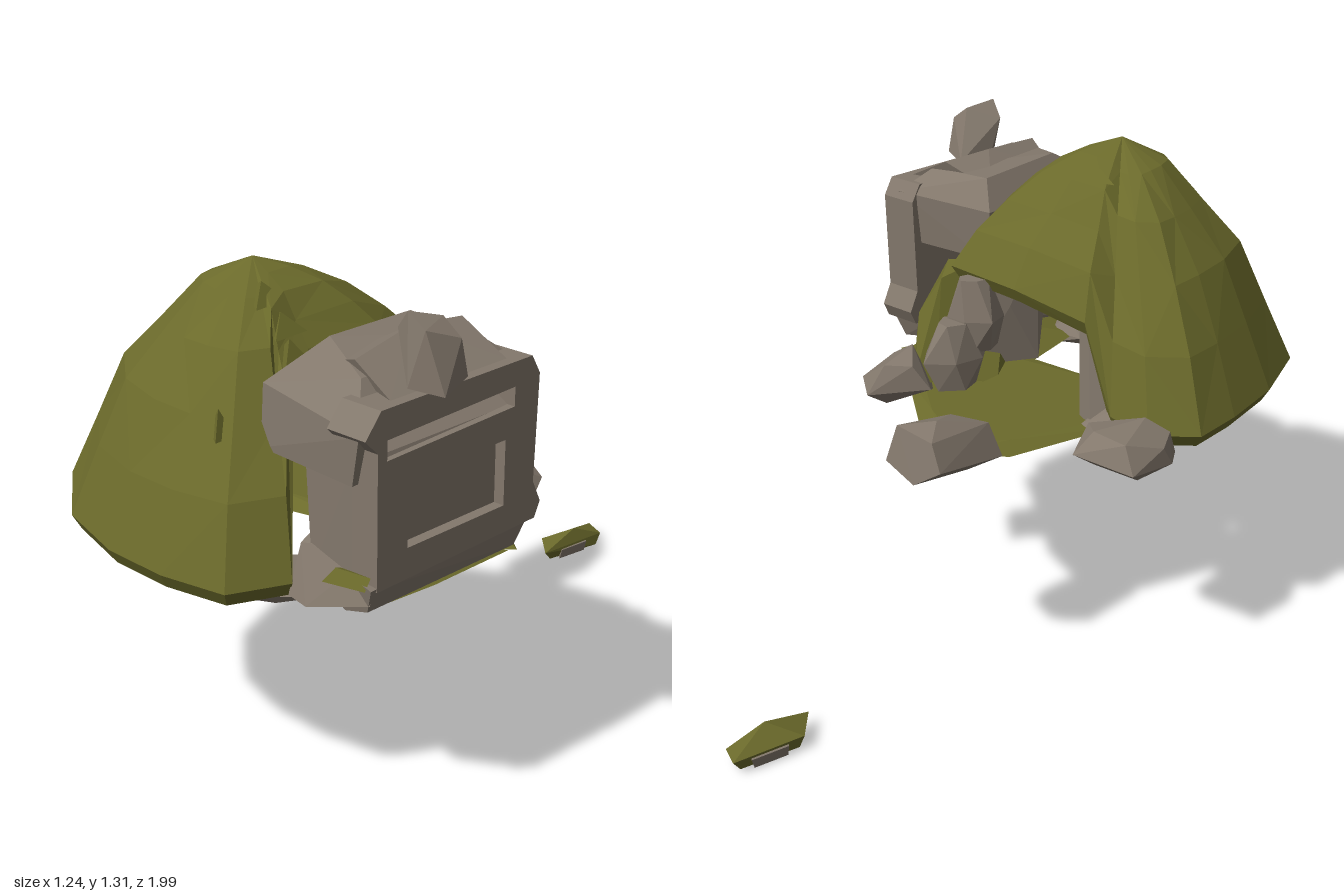
import * as THREE from 'three';
import { ConvexGeometry } from 'three/addons/geometries/ConvexGeometry.js';

const moss = new THREE.MeshStandardMaterial({ color: 0x6b6a2b, side: THREE.DoubleSide });
moss.name = 'moss';
const stone = new THREE.MeshStandardMaterial({ color: 0x83786c });
stone.name = 'stone';

const V = (p) => new THREE.Vector3(...p);

function mesh(parent, name, geometry, material) {
  const m = new THREE.Mesh(geometry, material);
  m.name = name;
  parent.add(m);
  return m;
}

// Faceted lump through a handful of corner points
const hull = (parent, name, material, pts) => mesh(parent, name, new ConvexGeometry(pts.map(V)), material);

// Irregular boulder: a jittered six-sided drum with domed ends, turned about y
function boulder(parent, name, [x, y, z], [sx, sy, sz], turn, seed) {
  const pts = [];
  for (const [h, r] of [[-0.95, 0.75], [-0.1, 1], [0.95, 0.55]]) {
    for (let i = 0; i < 6; i++) {
      const a = (i / 6) * Math.PI * 2 + h * 0.4;
      const k = r * (1 + 0.15 * Math.sin(seed * 7.3 + i * 4.1 + h * 9));
      pts.push([Math.cos(a) * k * sx, h * sy, Math.sin(a) * k * sz]);
    }
  }
  const m = hull(parent, name, stone, pts);
  m.position.set(x, y, z);
  m.rotation.y = turn;
}

// Open moss shell: spokes run from the peak down to an uneven rim
function shellGeometry() {
  const peak = [-0.11, 1.31, 0.45];
  const rim = [
    [0.33, 0.97, 0.2], [0.12, 0.95, 0.1], [-0.1, 0.9, 0.02], [-0.19, 0.66, -0.05],
    [-0.31, 0.65, -0.13], [-0.45, 0.65, -0.1], [-0.52, 0.66, 0.03], [-0.59, 0.67, 0.22],
    [-0.62, 0.68, 0.45], [-0.53, 0.66, 0.67], [-0.37, 0.65, 0.82], [-0.2, 0.65, 0.92],
    [-0.02, 0.65, 0.98], [0.12, 0.66, 0.9], [0.08, 0.95, 0.75], [0.1, 1.05, 0.6], [0.25, 1.07, 0.38],
  ];
  // [outward fraction, drop fraction]
  const rings = [[0.25, 0.1], [0.47, 0.25], [0.67, 0.46], [0.85, 0.71], [1, 1]];
  const spoke = (r, i) => {
    const pts = rings.map(([u, drop], j) => {
      const wob = j < 4 ? 0.014 * Math.sin(i * 5.7 + j * 3.1) : 0;
      const t = u + wob;
      return [
        peak[0] + (r[0] - peak[0]) * t,
        peak[1] + (r[1] - peak[1]) * drop + wob * 0.4,
        peak[2] + (r[2] - peak[2]) * t,
      ];
    });
    // rim curls under
    pts.push([r[0] + (peak[0] - r[0]) * 0.05, r[1] - 0.04, r[2] + (peak[2] - r[2]) * 0.05]);
    return pts;
  };
  const spokes = rim.map(spoke);
  const out = [];
  spokes.forEach((a, i) => {
    const b = spokes[(i + 1) % spokes.length];
    out.push(...peak, ...a[0], ...b[0]);
    for (let j = 0; j < a.length - 1; j++) {
      if ((i + j) % 2) out.push(...a[j], ...a[j + 1], ...b[j + 1], ...a[j], ...b[j + 1], ...b[j]);
      else out.push(...a[j], ...a[j + 1], ...b[j], ...b[j], ...a[j + 1], ...b[j + 1]);
    }
  });
  const g = new THREE.BufferGeometry();
  g.setAttribute('position', new THREE.Float32BufferAttribute(out, 3));
  g.computeVertexNormals();
  return g;
}

function rectHole(x0, x1, y0, y1, skew = 0) {
  const p = new THREE.Path();
  p.moveTo(x0, y0);
  p.lineTo(x0, y1);
  p.lineTo(x1, y1 + skew);
  p.lineTo(x1, y0 + skew);
  p.closePath();
  return p;
}

export function createModel() {
  const model = new THREE.Group();
  model.name = 'mossyStoneShelter';

  // Moss dome and its low crest tufts
  mesh(model, 'mossDome', shellGeometry(), moss);
  for (const [x, y, z, s, h] of [[-0.09, 1.0, 0.79, 0.035, 0.035], [-0.06, 1.25, 0.54, 0.06, 0.025],
    [0.0, 1.19, 0.58, 0.06, 0.025], [0.04, 1.14, 0.64, 0.05, 0.03], [-0.08, 1.24, 0.3, 0.05, 0.015]]) {
    hull(model, 'mossTuft', moss, [[x - s, y - h, z - s], [x + s, y - h, z - s * 0.4],
      [x, y + h, z], [x + s * 0.2, y - h, z + s * 1.3]]);
  }

  // Ground slab, and the moss bed running under the house
  const outline = [[0.05, -0.22], [0.2, -0.28], [0.36, -0.05], [0.47, 0.2], [0.46, 0.4], [0.2, 0.46], [-0.15, 0.32], [-0.2, 0]];
  hull(model, 'groundSlab', moss, outline.flatMap(([x, z], i) => [
    [x, 0.59 + 0.02 * (i % 2), z],
    [0.13 + (x - 0.13) * 0.85, 0.62, 0.08 + (z - 0.08) * 0.85],
    [0.13 + (x - 0.13) * 0.6, 0.54 + 0.01 * (i % 3), 0.08 + (z - 0.08) * 0.6],
  ]));
  hull(model, 'mossBank', moss, [[0.2, 0.6, 0.2], [0.47, 0.6, 0.2], [0.46, 0.6, 0.42], [0.57, 0.6, 0.45],
    [0.22, 0.6, 0.55], [0.25, 0.68, 0.45], [0.42, 0.68, 0.35], [0.4, 0.7, 0.22]]);
  hull(model, 'mossBed', moss, [[0.15, 0.6, 0.45], [0.55, 0.6, 0.46], [0.42, 0.61, 0.72], [0.3, 0.62, 0.92],
    [0.08, 0.6, 0.7], [0.2, 0.575, 0.6], [0.42, 0.58, 0.52], [0.3, 0.66, 0.6]]);
  hull(model, 'mossButtress', moss, [[0.27, 0.97, 0.26], [0.38, 0.94, 0.34], [0.36, 0.93, 0.2],
    [0.46, 0.66, 0.24], [0.42, 0.64, 0.1], [0.36, 0.64, 0.12], [0.43, 0.82, 0.2]]);
  hull(model, 'mossPatch', moss, [[0.2, 0.69, 0.93], [0.23, 0.725, 0.92], [0.32, 0.72, 0.945], [0.31, 0.69, 0.96], [0.26, 0.7, 0.86]]);

  // Boulders round the back and right
  hull(model, 'backBoulder', stone, [[0.17, 0.64, -0.47], [0.2, 0.71, -0.44], [0.25, 0.59, -0.45], [0.34, 0.63, -0.4],
    [0.31, 0.73, -0.39], [0.33, 0.6, -0.31], [0.21, 0.74, -0.36], [0.06, 0.61, -0.26], [0.1, 0.7, -0.25],
    [0.24, 0.6, -0.17], [0.22, 0.69, -0.2], [0.15, 0.57, -0.28]]);
  hull(model, 'leftBackBoulder', stone, [[-0.39, 0.61, -0.2], [-0.37, 0.66, -0.22], [-0.31, 0.62, -0.33], [-0.28, 0.69, -0.29],
    [-0.13, 0.63, -0.25], [-0.18, 0.69, -0.22], [-0.12, 0.6, -0.18], [-0.14, 0.66, -0.1], [-0.2, 0.59, -0.04],
    [-0.38, 0.6, -0.1], [-0.37, 0.67, -0.13], [-0.3, 0.56, -0.22], [-0.17, 0.57, -0.17], [-0.3, 0.7, -0.12]]);
  hull(model, 'rightBoulder', stone, [[0.35, 0.65, 0.04], [0.4, 0.72, 0.03], [0.52, 0.64, -0.02], [0.48, 0.72, 0.02],
    [0.57, 0.65, 0.09], [0.56, 0.62, 0.18], [0.5, 0.7, 0.17], [0.47, 0.6, 0.2], [0.38, 0.6, 0.17], [0.42, 0.76, 0.1], [0.48, 0.6, 0.03]]);
  boulder(model, 'rightBoulder', [0.3, 0.74, 0.12], [0.1, 0.1, 0.08], 0.9, 3);
  boulder(model, 'rightBoulder', [0.25, 0.85, 0.16], [0.08, 0.11, 0.07], 0.3, 4);
  boulder(model, 'footingStone', [0.04, 0.605, 0.76], [0.14, 0.03, 0.13], 0.4, 4);
  boulder(model, 'footingStone', [-0.22, 0.62, 0.03], [0.12, 0.05, 0.11], 0.4, 2);

  // Pillars, lintel and inner wall holding up the shell
  const pillar = (pts0, pts1, r) => hull(model, 'pillar', stone, [0, 1, 2, 3, 4].flatMap((i) => {
    const c = Math.cos(i * 1.257) * r, s = Math.sin(i * 1.257) * r;
    return [[pts0[0] + c * 1.3, pts0[1], pts0[2] + s * 1.3], [pts1[0] + c, pts1[1], pts1[2] + s]];
  }));
  pillar([-0.15, 0.6, 0.03], [-0.11, 0.96, 0.13], 0.05);
  hull(model, 'lintel', stone, [[-0.13, 0.92, 0.1], [-0.1, 1.0, 0.16], [-0.08, 0.93, 0.18], [0.1, 0.93, 0.13],
    [0.1, 1.0, 0.2], [0.3, 0.91, 0.21], [0.28, 0.99, 0.25], [0.28, 0.92, 0.29]]);
  hull(model, 'innerWall', stone, [[0.13, 0.62, 0.42], [0.13, 0.98, 0.42], [0.12, 0.8, 0.46], [0.15, 0.62, 0.5], [0.15, 0.98, 0.5],
    [0.2, 0.8, 0.36], [0.3, 0.62, 0.32], [0.3, 0.98, 0.32], [0.36, 0.62, 0.42], [0.36, 0.98, 0.42]]);

  // Stone house, local +z is its windowed face
  const house = new THREE.Group();
  house.name = 'stoneHouse';
  house.position.set(0.47, 0, 0.72);
  house.rotation.y = 1.058;
  model.add(house);

  const wall = new THREE.Shape([[-0.27, 0.69], [0.29, 0.7], [0.31, 0.74], [0.28, 0.8], [0.29, 1.08], [0.26, 1.13],
    [-0.26, 1.13], [-0.31, 1.07], [-0.27, 1.03]].map(([x, y]) => new THREE.Vector2(x, y)));
  wall.holes.push(rectHole(-0.17, 0.17, 0.77, 0.94), rectHole(-0.24, 0.2, 1.005, 1.055, 0.012));
  const front = new THREE.ExtrudeGeometry(wall, { depth: 0.12, bevelEnabled: false });
  front.translate(0, 0, -0.12);
  mesh(house, 'windowWall', front, stone);
  const back = new THREE.BoxGeometry(0.36, 0.19, 0.02);
  back.translate(0, 0.855, -0.04);
  mesh(house, 'windowBacking', back, stone);
  // sloped ledge inside the slot
  hull(house, 'slotLedge', stone, [-0.245, 0.205].flatMap((x) => [[x, 0.99, -0.01], [x, 1.015, -0.02], [x, 1.07, -0.11], [x, 0.99, -0.11]]));
  hull(house, 'sideWall', stone, [[-0.27, 0.68, -0.08], [-0.27, 0.98, -0.08], [-0.28, 0.68, -0.2], [-0.28, 0.98, -0.22],
    [-0.2, 0.68, -0.1], [-0.2, 0.98, -0.1], [-0.2, 0.68, -0.18], [-0.2, 0.98, -0.2]]);

  hull(house, 'roof', stone, [[-0.29, 0.94, -0.06], [0.26, 0.95, -0.1], [-0.27, 0.94, -0.38], [0.24, 0.95, -0.38],
    [-0.3, 1.07, -0.03], [0.28, 1.1, -0.05], [-0.26, 1.1, -0.38], [0.25, 1.1, -0.4],
    [-0.2, 1.16, -0.12], [0.2, 1.17, -0.12], [-0.1, 1.19, -0.32], [0.2, 1.18, -0.34]]);
  hull(house, 'roofCap', stone, [[-0.2, 1.13, -0.03], [0.2, 1.13, -0.03], [-0.18, 1.19, -0.16],
    [0.05, 1.21, -0.2], [0.21, 1.2, -0.18], [-0.12, 1.14, -0.3], [0.18, 1.14, -0.34]]);
  hull(house, 'houseBase', stone, [[-0.27, 0.63, -0.03], [0.25, 0.63, -0.03], [-0.29, 0.7, 0], [0.28, 0.71, -0.01],
    [-0.24, 0.59, -0.13], [0.02, 0.61, -0.06], [-0.24, 0.72, -0.25], [0.22, 0.7, -0.14], [-0.22, 0.62, -0.24], [0.2, 0.63, -0.12]]);
  hull(model, 'frontFooting', stone, [[0.11, 0.63, 0.9], [0.13, 0.75, 0.86], [0.16, 0.78, 0.8], [0.32, 0.77, 0.9],
    [0.32, 0.65, 0.95], [0.16, 0.62, 0.93], [0.14, 0.63, 0.72], [0.3, 0.7, 0.72]]);

  // Chimney stone
  hull(model, 'chimney', stone, [[0.36, 1.31, 0.78], [0.33, 1.26, 0.75], [0.43, 1.29, 0.73], [0.48, 1.25, 0.76],
    [0.49, 1.15, 0.73], [0.35, 1.15, 0.7], [0.37, 1.14, 0.82], [0.46, 1.13, 0.83], [0.41, 1.28, 0.82], [0.42, 1.15, 0.62]]);

  // Fallen moss chip with a strip of bare stone beneath
  hull(model, 'mossChip', moss, [[0.565, 0.04, -1], [0.61, 0.037, -0.94], [0.465, 0.04, -0.73], [0.435, 0.04, -0.84],
    [0.535, 0.08, -0.86], [0.56, 0.004, -0.97], [0.6, 0.004, -0.92], [0.475, 0.004, -0.77], [0.45, 0.004, -0.84]]);
  hull(model, 'chipUnderside', stone, [[0.575, 0.032, -0.875], [0.51, 0.032, -0.785], [0.53, 0.032, -0.965], [0.462, 0.032, -0.882],
    [0.568, 0, -0.875], [0.503, 0, -0.79], [0.53, 0, -0.95], [0.468, 0, -0.875]]);

  return model;
}
